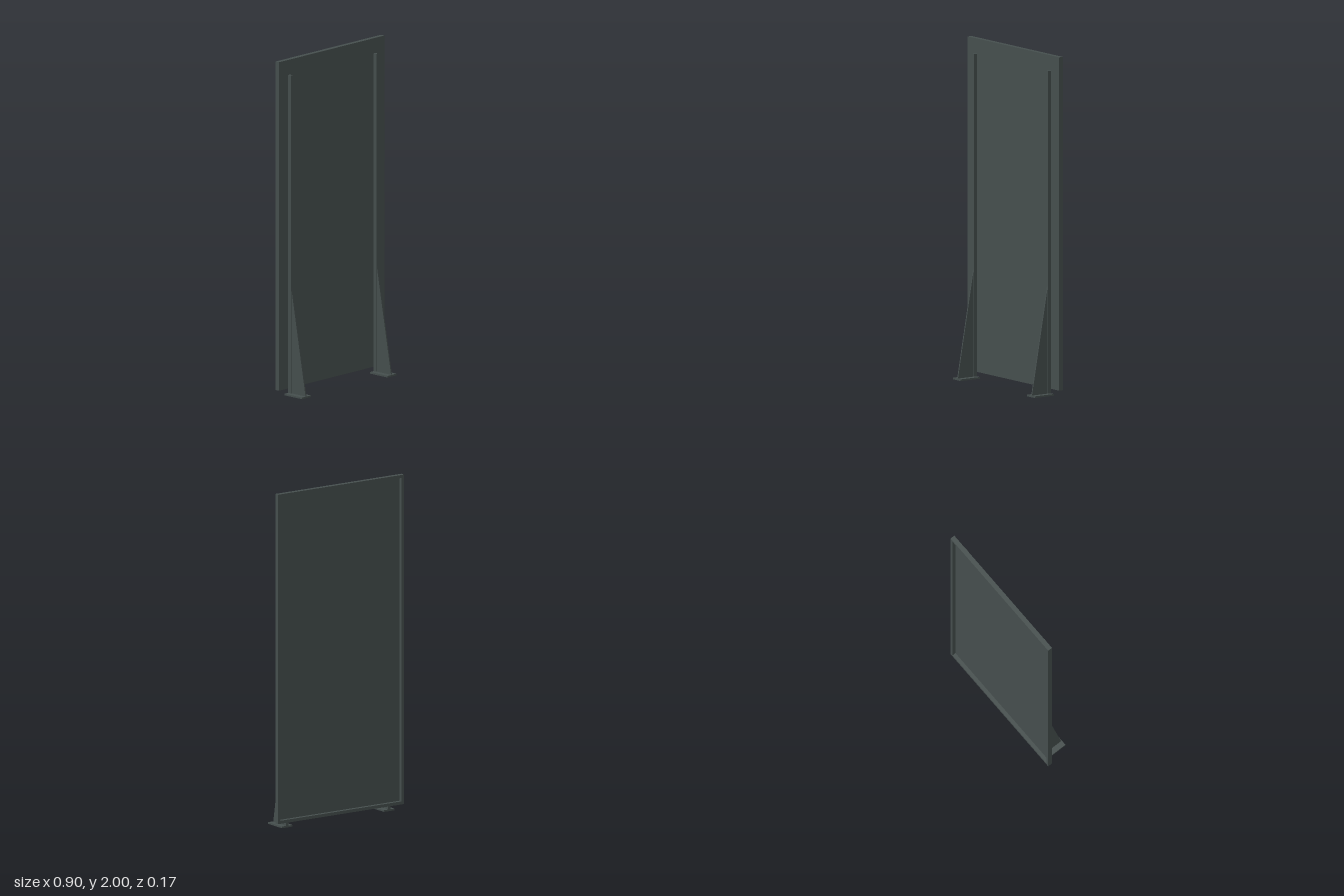
import * as THREE from 'three';

export function createModel() {
  const model = new THREE.Group();
  model.name = 'partitionScreen';
  const steel = new THREE.MeshStandardMaterial({ color: 0x454e4d });
  steel.name = 'dark grey steel';

  const add = (parent, name, geometry, x = 0, y = 0, z = 0) => {
    const mesh = new THREE.Mesh(geometry, steel);
    mesh.name = name;
    mesh.position.set(x, y, z);
    parent.add(mesh);
    return mesh;
  };

  // Panel: a rim around the edge, open at the back, closed by a front sheet
  const halfW = 0.448, bottom = 0.036, top = 2, rim = 0.018;
  const back = -0.085, front = -0.057, sheet = 0.006;
  const rectangle = (inset, PathType) => new PathType([
    [-halfW + inset, bottom + inset], [halfW - inset, bottom + inset],
    [halfW - inset, top - inset], [-halfW + inset, top - inset],
  ].map(([x, y]) => new THREE.Vector2(x, y)));
  const rimShape = rectangle(0, THREE.Shape);
  rimShape.holes.push(rectangle(rim, THREE.Path));
  add(model, 'panelRim', new THREE.ExtrudeGeometry(rimShape,
    { depth: front - back, bevelEnabled: false }), 0, 0, back);
  add(model, 'panelSheet', new THREE.BoxGeometry(2 * (halfW - rim), top - bottom - 2 * rim, sheet),
    0, (top + bottom) / 2, front - sheet / 2);

  // Gusset profile: x runs along the depth, y is height
  const plateH = 0.01, postFront = -0.035, gussetW = 0.008;
  const gussetShape = new THREE.Shape([
    [front, plateH], [0.078, plateH], [postFront, 0.64], [front, 0.64],
  ].map(([z, y]) => new THREE.Vector2(z, y)));

  // Two supports: foot plate, upright post and tapered gusset
  for (const side of [-1, 1]) {
    const support = new THREE.Group();
    support.name = side > 0 ? 'leftSupport' : 'rightSupport';
    support.position.x = side * 0.363;
    model.add(support);
    add(support, 'footPlate', new THREE.BoxGeometry(0.075, plateH, 0.14), 0, plateH / 2, 0.013);
    add(support, 'post', new THREE.BoxGeometry(0.016, 1.91 - plateH, postFront - front),
      0, (1.91 + plateH) / 2, (postFront + front) / 2);
    const gusset = new THREE.ExtrudeGeometry(gussetShape, { depth: gussetW, bevelEnabled: false });
    gusset.translate(0, 0, -gussetW / 2);
    gusset.rotateY(-Math.PI / 2);
    add(support, 'gusset', gusset);
  }
  return model;
}
